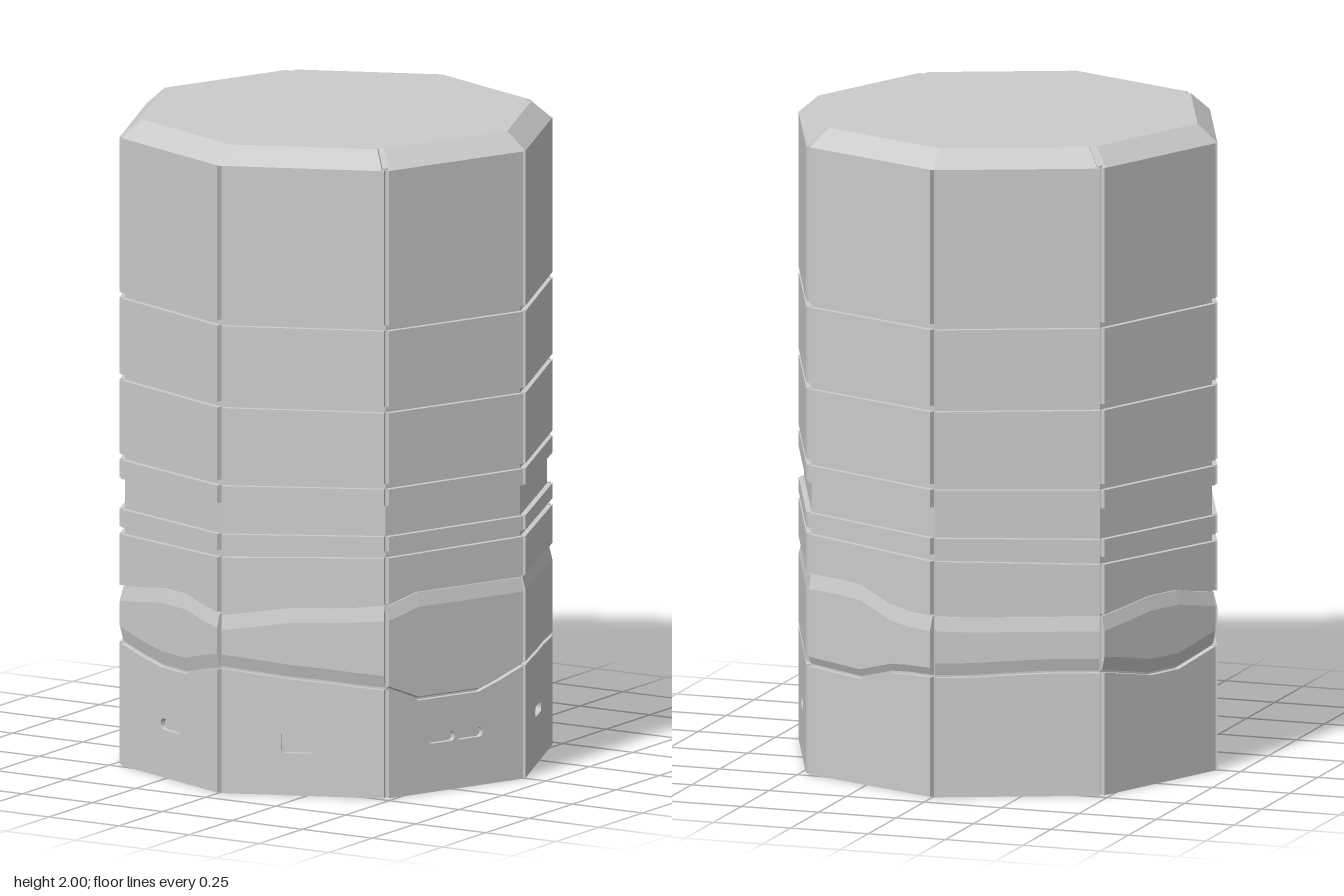
import * as THREE from 'three';

const SIDES = 8, STEP = Math.PI / 4;
const R = 0.676, CORE_R = 0.658;             // outer and core corner radius
const COS = Math.cos(STEP / 2), SIN = Math.sin(STEP / 2);
const DEPTH = (R - CORE_R) * COS;            // panel thickness over the core
const HALF = R * SIN - 0.009;                // half panel width, short of the corner groove
const STOPS = [0, 0.22, 0.42, 0.67, 0.82, 1];

// Per face, going round from the front corner towards +x:
// wave edges above and below the shaped band, its lower lip, and slots [u, width, height]
const FACES = [
  { up: [.555, .57, .585, .588, .592, .6], low: [.385, .372, .36, .35, .342, .335], lip: .045, slots: [[.465, .1, .068]] },
  { up: [.6, .63, .63, .63, .63, .63], low: [.335, .29, .29, .29, .315, .35], lip: .012, slots: [[.39, .098, .03], [.6, .098, .03]] },
  { up: [.63, .63, .63, .63, .627, .625], low: [.35, .348, .345, .345, .34, .338], lip: .012, slots: [[.467, .11, .033]] },
  { up: [.625, .625, .62, .575, .565, .565], low: [.335, .33, .325, .36, .367, .37], lip: .03, slots: [] },
  { up: [.565, .56, .56, .56, .56, .56], low: [.37, .37, .375, .38, .38, .38], lip: .045, slots: [] },
  { up: [.56, .575, .59, .59, .575, .56], low: [.38, .36, .34, .34, .36, .385], lip: .05, slots: [] },
  { up: [.555, .55, .55, .55, .55, .555], low: [.385, .38, .38, .38, .38, .38], lip: .05, slots: [[.5, .11, .033]] },
  { up: [.56, .575, .59, .59, .575, .56], low: [.378, .355, .34, .34, .36, .38], lip: .05, slots: [[.52, .105, .035]] },
];

const xAt = (u) => (u * 2 - 1) * HALF;
const shift = (edge, dy) => edge.map((y) => y + dy);

// A height that leans a little towards +x, sampled across face k
function level(k, y, tilt = 0) {
  const a = Math.sin(k * STEP), b = Math.sin((k + 1) * STEP);
  return STOPS.map((u) => y + tilt * (a + (b - a) * u));
}

// Loft a panel across a face; rows are [edge heights, depth] from bottom to top
function panelGeometry(rows) {
  const rings = STOPS.map((u, i) => [
    [xAt(u), rows[0][0][i], -0.006],
    ...rows.map(([edge, d]) => [xAt(u), edge[i], d]),
    [xAt(u), rows[rows.length - 1][0][i], -0.006],
  ]);
  const pos = [], n = rings[0].length, last = rings[rings.length - 1];
  const tri = (...pts) => pts.forEach((p) => pos.push(...p));
  for (let i = 0; i < rings.length - 1; i++) {
    for (let j = 0; j < n; j++) {
      const m = (j + 1) % n, p = rings[i], q = rings[i + 1];
      tri(p[j], q[j], q[m]);
      tri(p[j], q[m], p[m]);
    }
  }
  for (let j = 1; j < n - 1; j++) {
    tri(rings[0][0], rings[0][j], rings[0][j + 1]);
    tri(last[0], last[j + 1], last[j]);
  }
  const geo = new THREE.BufferGeometry();
  geo.setAttribute('position', new THREE.Float32BufferAttribute(pos, 3));
  geo.computeVertexNormals();
  return geo;
}

// Base panel with a wavy top and rounded slots
function baseGeometry(face) {
  const shape = new THREE.Shape();
  shape.moveTo(-HALF, 0).lineTo(HALF, 0);
  for (let i = STOPS.length - 1; i >= 0; i--) shape.lineTo(xAt(STOPS[i]), face.low[i]);
  shape.closePath();
  for (const [u, w, h] of face.slots) {
    const r = Math.min(h * 0.45, 0.018), x = xAt(u), y = 0.165;
    const hole = new THREE.Path();
    hole.absarc(x + w / 2 - r, y + h / 2 - r, r, 0, Math.PI / 2);
    hole.absarc(x - w / 2 + r, y + h / 2 - r, r, Math.PI / 2, Math.PI);
    hole.absarc(x - w / 2 + r, y - h / 2 + r, r, Math.PI, Math.PI * 1.5);
    hole.absarc(x + w / 2 - r, y - h / 2 + r, r, Math.PI * 1.5, Math.PI * 2);
    hole.closePath();
    shape.holes.push(hole);
  }
  return new THREE.ExtrudeGeometry(shape, { depth: DEPTH, bevelEnabled: false, curveSegments: 3 });
}

// Bevelled lid, notched at the diagonal corners
function lidGeometry() {
  const pts = [];
  for (let k = 0; k < SIDES; k++) {
    const n = new THREE.Vector2(Math.cos(k * STEP), Math.sin(k * STEP));
    const t = new THREE.Vector2(-n.y, n.x);
    const add = (r, s) => pts.push(n.clone().multiplyScalar(r).addScaledVector(t, s));
    if (k % 2 === 0) add(R, 0);
    else [[R - 0.006, -0.014], [R - 0.02, -0.008], [R - 0.02, 0.008], [R - 0.006, 0.014]].forEach((p) => add(...p));
  }
  const geo = new THREE.ExtrudeGeometry(new THREE.Shape(pts), { depth: 0.055, bevelEnabled: false });
  geo.rotateX(-Math.PI / 2);
  const p = geo.attributes.position;
  for (let i = 0; i < p.count; i++) {
    if (p.getY(i) > 0.03) p.setXYZ(i, p.getX(i) * 0.905, p.getY(i), p.getZ(i) * 0.905);
  }
  geo.translate(0, 1.945, 0);
  geo.computeVertexNormals();
  return geo;
}

export function createModel() {
  const model = new THREE.Group();
  model.name = 'octagonalCanister';
  const mat = new THREE.MeshStandardMaterial({ color: 0xcccccc, flatShading: true });
  const add = (parent, name, geo) => {
    const mesh = new THREE.Mesh(geo, mat);
    mesh.name = name;
    parent.add(mesh);
    return mesh;
  };

  // Core seen at the bottom of every groove
  add(model, 'core', new THREE.CylinderGeometry(CORE_R, CORE_R, 1.95, SIDES)).position.y = 0.975;
  add(model, 'lid', lidGeometry());

  FACES.forEach((face, k) => {
    const side = new THREE.Group();
    side.name = `side${k + 1}`;
    const a = (k + 0.5) * STEP;
    side.rotation.y = a;
    side.position.set(Math.sin(a) * CORE_R * COS, 0, Math.cos(a) * CORE_R * COS);
    model.add(side);
    const flat = (name, bottom, top) => add(side, name, panelGeometry([[bottom, DEPTH], [top, DEPTH]]));

    add(side, 'basePanel', baseGeometry(face));
    // Shaped band with sloping lips
    add(side, 'waveBand', panelGeometry([
      [shift(face.low, 0.007), 0.006],
      [shift(face.low, face.lip), DEPTH],
      [shift(face.up, -0.05), DEPTH],
      [shift(face.up, -0.007), 0.006],
    ]));
    // Plain bands up to the lid
    flat('waistPanel', face.up, level(k, 0.73, 0.02));
    flat('lowerRib', level(k, 0.751, 0.018), level(k, 0.802, 0.012));
    flat('upperRib', level(k, 0.897, 0.012), level(k, 0.952, 0.008));
    flat('lowerPanel', level(k, 0.969, 0.007), level(k, 1.194));
    flat('middlePanel', level(k, 1.212), level(k, 1.448));
    flat('upperPanel', level(k, 1.465), level(k, 1.945));
  });
  return model;
}
